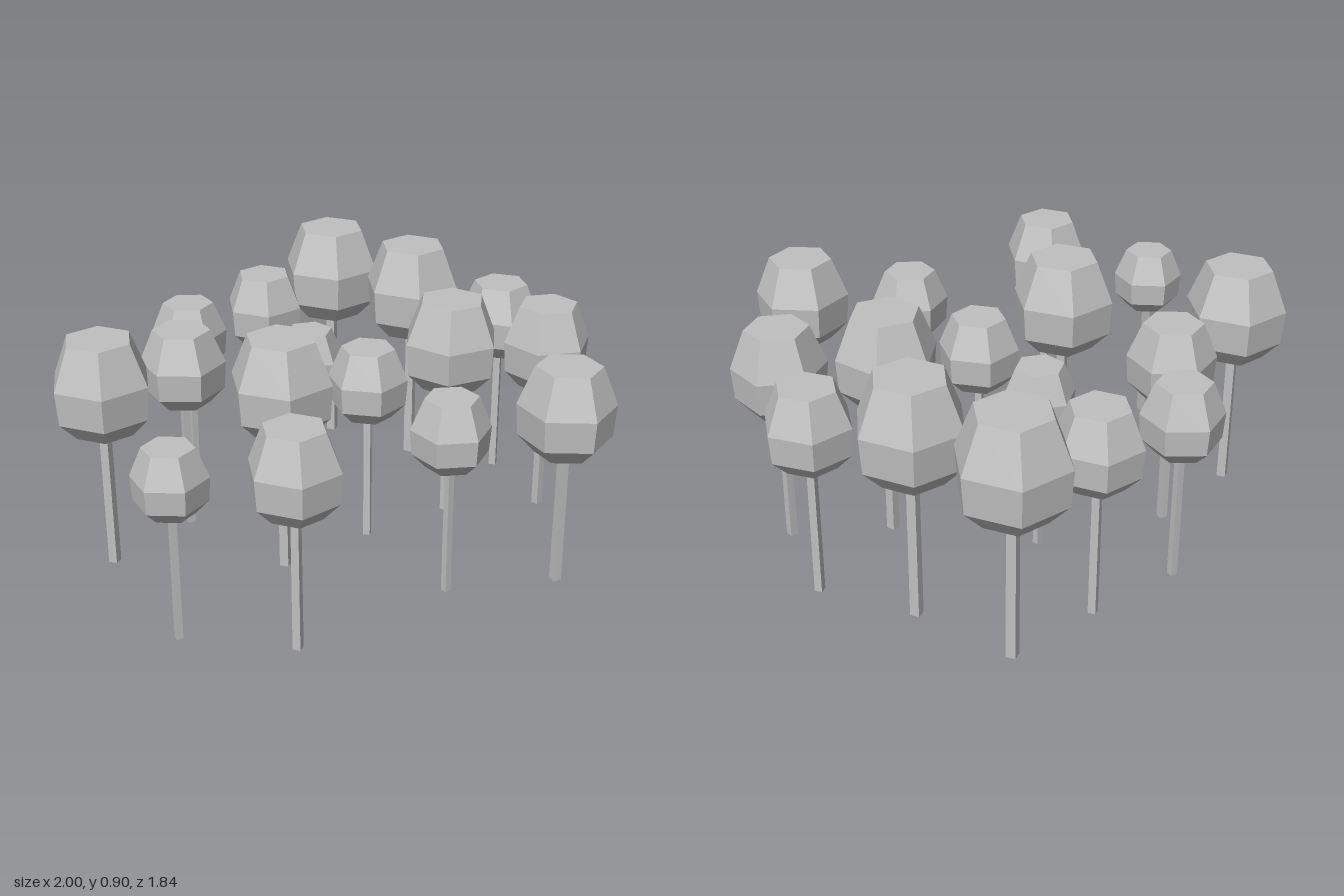
import * as THREE from 'three';

// x, z, crown radius, crown bottom, crown top, turn in degrees
const TREES = [
  [-0.63, -0.61, 0.183, 0.53, 0.875, -14],
  [-0.245, -0.575, 0.157, 0.505, 0.79, 25],
  [0.04, -0.79, 0.143, 0.495, 0.755, 22],
  [0.385, -0.69, 0.154, 0.505, 0.79, -14],
  [0.73, -0.61, 0.195, 0.54, 0.905, -14],
  [0.165, -0.305, 0.128, 0.48, 0.715, 9],
  [-0.875, -0.09, 0.13, 0.48, 0.715, 27],
  [-0.29, -0.085, 0.187, 0.545, 0.89, -16],
  [0.065, 0.03, 0.145, 0.495, 0.76, -24],
  [0.745, -0.225, 0.19, 0.54, 0.9, -12],
  [0.4, 0.17, 0.183, 0.53, 0.868, 0],
  [0.84, 0.125, 0.155, 0.505, 0.79, -18],
  [-0.695, 0.275, 0.16, 0.51, 0.815, -15],
  [0.65, 0.435, 0.165, 0.51, 0.83, 13],
  [-0.105, 0.485, 0.14, 0.495, 0.75, 18],
  [0.185, 0.765, 0.172, 0.51, 0.83, 27],
];

// Crown profile: share of the radius, share of the height
const PROFILE = [[0, 0], [0.6, 0], [0.95, 0.2], [1, 0.56], [0.67, 1], [0, 1]];

export function createModel() {
  const grey = new THREE.MeshStandardMaterial({ color: 0xc0c0c0, flatShading: true });
  grey.name = 'light grey';

  const grove = new THREE.Group();
  grove.name = 'grove';

  for (const [x, z, r, bottom, top, turn] of TREES) {
    const tree = new THREE.Group();
    tree.name = 'tree';

    // Six-sided crown with flat top and bottom
    const points = PROFILE.map(([a, b]) => new THREE.Vector2(a * r, bottom + b * (top - bottom)));
    const crown = new THREE.Mesh(new THREE.LatheGeometry(points, 6), grey);
    crown.name = 'crown';

    // Thin four-sided trunk, set slightly into the crown
    const height = bottom + 0.02;
    const trunk = new THREE.Mesh(new THREE.CylinderGeometry(r * 0.12, r * 0.125, height, 4), grey);
    trunk.name = 'trunk';
    trunk.position.y = height / 2;
    trunk.rotation.y = Math.PI / 4;

    tree.add(crown, trunk);
    tree.position.set(x, 0, z);
    tree.rotation.y = -THREE.MathUtils.degToRad(turn);
    grove.add(tree);
  }
  return grove;
}
